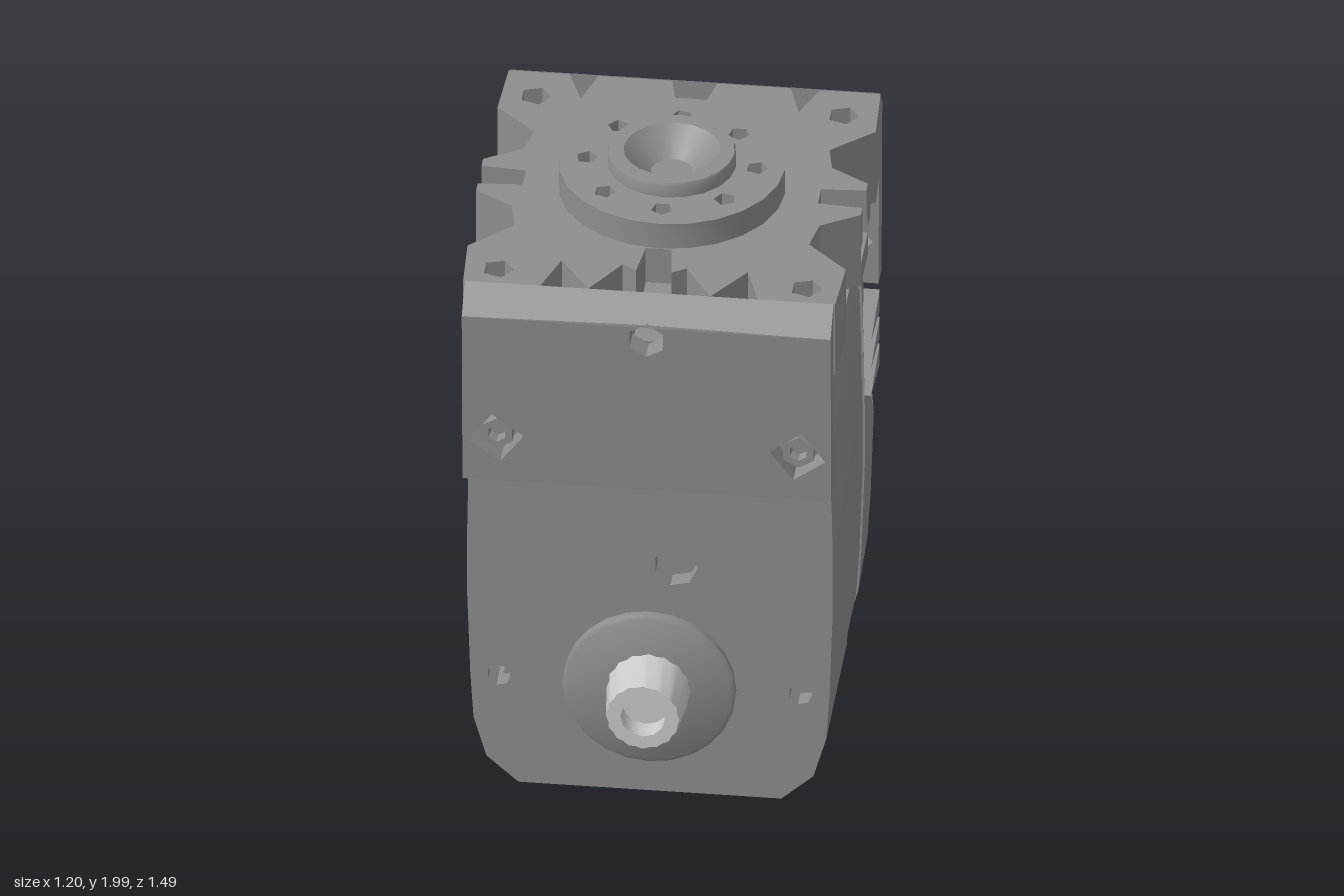
import * as THREE from 'three';
import { toCreasedNormals } from 'three/addons/utils/BufferGeometryUtils.js';

const grey = new THREE.MeshStandardMaterial({ color: 0x8e8e8e, side: THREE.DoubleSide });
const white = new THREE.MeshStandardMaterial({ color: 0xffffff, side: THREE.DoubleSide });

export function createModel() {
  const root = new THREE.Group();

  const add = (name, geo, x = 0, y = 0, z = 0, mat = grey) => {
    const mesh = new THREE.Mesh(toCreasedNormals(geo, 0.7), mat);
    mesh.name = name;
    mesh.position.set(x, y, z);
    root.add(mesh);
    return mesh;
  };
  const poly = pts => new THREE.Shape(pts.map(p => new THREE.Vector2(p[0], p[1])));
  const ngon = (x, y, r, n, turn = 0) => poly(Array.from({ length: n }, (_, i) => {
    const a = turn + i / n * Math.PI * 2;
    return [x + r * Math.cos(a), y + r * Math.sin(a)];
  }));
  const extrude = (shape, depth, holes = []) => {
    shape.holes = holes;
    return new THREE.ExtrudeGeometry(shape, { depth, bevelEnabled: false });
  };
  // Moves every vertex of a geometry by a rule
  const reshape = (geo, rule) => {
    const p = geo.attributes.position;
    for (let i = 0; i < p.count; i++) p.setXYZ(i, ...rule(p.getX(i), p.getY(i), p.getZ(i)));
    geo.computeVertexNormals();
    return geo;
  };
  // Lathe whose axis points along z
  const latheZ = (pts, n) => new THREE.LatheGeometry(
    pts.map(p => new THREE.Vector2(p[0], p[1])), n).rotateX(Math.PI / 2);

  // Case: three slabs around a smaller core; "recess" hollows the right flank
  const outline = (inset, recess = 0) => {
    const half = [[0.41, 0.01 + inset], [0.51 - inset, 0.1], [0.55 - inset, 0.24], [0.56 - inset, 0.4],
      [0.57 - inset, 0.7], [0.57 - inset, 0.92], [0.565 - inset, 1.2], [0.56 - inset, 1.36],
      [0.54 - inset, 1.43 - inset]];
    const flank = half.map(([x, y]) => [y > 0.3 && y < 1.1 ? recess - x : -x, y]);
    return poly([...half, ...flank.reverse()]);
  };
  add('caseCore', extrude(outline(0.03, 0.08), 1.05), 0, 0, -0.56);
  add('frontCase', extrude(outline(0),
    0.545, [ngon(-0.47, 0.4, 0.038, 7), ngon(0.47, 0.4, 0.038, 7), ngon(0.08, 0.84, 0.07, 7)]), 0, 0, 0.005);
  add('middleCase', extrude(outline(0.005, 0.09), 0.275), 0, 0, -0.28);
  // The rear slab draws in at its upper back edges
  add('rearCase', reshape(extrude(outline(0), 0.31),
    (x, y, z) => [z < 0.01 ? x * (y > 0.8 ? 0.93 : 0.985) : x, y, z]), 0, 0, -0.61);
  for (const s of [-1, 1])
    add('rearScrew', new THREE.CylinderGeometry(0.06, 0.06, 0.03, 10).rotateX(Math.PI / 2),
      s * 0.45, 0.4, -0.61);
  // Pointed cooling ribs on the left rear
  for (const y of [0.91, 1.01, 1.11])
    add('coolingRib', extrude(poly([[-0.38, 0], [-0.61, 0.045], [-0.61, -0.03]]), 0.075)
      .rotateY(-Math.PI / 2), 0.58, y, 0);

  // Output side: collar ring and splined shaft
  add('shaftCollar', latheZ([[0, 0.54], [0.27, 0.54], [0.27, 0.57], [0.255, 0.58], [0, 0.58]], 24), 0, 0.4, 0);
  const spline = Array.from({ length: 32 }, (_, i) => {
    const a = i / 32 * Math.PI * 2, r = i % 2 ? 0.126 : 0.132;
    return [r * Math.cos(a), r * Math.sin(a)];
  });
  add('splinedShaft', reshape(extrude(poly(spline), 0.165, [ngon(0, 0, 0.08, 12)]),
    (x, y, z) => [x * (1 - 0.8 * z), y * (1 - 0.8 * z), z]), 0, 0.4, 0.575, white);
  add('shaftBore', new THREE.CylinderGeometry(0.078, 0.078, 0.06, 12).rotateX(Math.PI / 2), 0, 0.4, 0.63, white);

  // Idler boss on the back
  add('idlerBoss', latheZ([[0, -0.6], [0.27, -0.6], [0.26, -0.64], [0.23, -0.65], [0.16, -0.655],
    [0.12, -0.735], [0.06, -0.745], [0.05, -0.725], [0, -0.725]], 12), 0, 0.4, 0);

  // Bracket end plates: sloped, bevelled along the top, with screw recesses
  const endPlate = () => reshape(
    extrude(poly([[-0.575, 1.17], [0.575, 1.17], [0.575, 1.86], [-0.575, 1.86]]), 0.08,
      [ngon(-0.47, 1.33, 0.088, 4, 0.15), ngon(0.47, 1.33, 0.088, 4, -0.15), ngon(0, 1.73, 0.06, 6, 0.5)]),
    (x, y, z) => [x, y > 1.85 && z > 0.05 ? 1.78 : y, z + 0.55 + 0.02 * (y - 1.17) / 0.69]);
  const screw = () => latheZ([[0, 0.54], [0.055, 0.54], [0.055, 0.61], [0.03, 0.61], [0.025, 0.58], [0, 0.58]], 6);
  for (const [side, turn, z] of [['front', 0, 0], ['rear', Math.PI, -0.07]]) {
    add(side + 'BracketPlate', endPlate(), 0, 0, z).rotation.y = turn;
    for (const s of [-1, 1]) add(side + 'BracketScrew', screw(), s * 0.47, 1.33, z).rotation.y = turn;
  }

  // Bracket top in three layers, scalloped at the sides, with crossing bores
  const layer = (shape, y, h, holes) =>
    add('bracketTop', extrude(shape, h, holes).rotateX(-Math.PI / 2), 0, y, 0);
  const c = -0.035; // z of the horn axis
  const rearEdge = [[0.58, -0.635], [0.59, -0.42], [0.46, -0.3], [0.48, -0.2], [0.6, c - 0.09]];
  const frontEdge = [[0.6, c + 0.09], [0.48, 0.13], [0.46, 0.24], [0.59, 0.37], [0.58, 0.57]];
  const ring = (sideSlot, frontSlot, rearSlot) => {
    const half = [...rearSlot, ...rearEdge, ...sideSlot, ...frontEdge, ...frontSlot];
    const mirror = half.map(p => [-p[0], p[1]]).reverse();
    return poly([...half, ...mirror].map(p => [p[0], -p[1]]));
  };
  layer(ring([], [], []), 1.6, 0.08);
  layer(ring([[0.6, c - 0.05], [0.46, c - 0.04], [0.46, c + 0.04], [0.6, c + 0.05]],
    [[0.34, 0.57], [0.29, 0.42], [0.19, 0.57], [0.1, 0.42], [0.055, 0.45], [0.04, 0.32]],
    [[0.05, -0.54], [0.07, -0.635], [0.3, -0.635], [0.34, -0.5], [0.39, -0.635]]), 1.735, 0.125,
  [-1, 1].flatMap(s => [0.49, -0.5].map(z => ngon(s * 0.48, -z, 0.05, 5))));
  for (const s of [-1, 1]) {
    const quarter = (edge, inner) => poly([...edge, ...inner].map(p => [s * p[0], -p[1]]));
    layer(quarter(rearEdge, [[0.05, c - 0.05], [0.05, -0.635]]), 1.68, 0.055);
    layer(quarter(frontEdge, [[0.05, 0.57], [0.05, c + 0.05]]), 1.68, 0.055);
    // Corner feet between the bracket and the case
    for (const z of [0.475, -0.54])
      add('bracketFoot', new THREE.BoxGeometry(0.3, 0.19, 0.15), s * 0.4, 1.515, z);
  }

  // Round horn with eight screw holes, and its dished hub
  const holes = Array.from({ length: 8 }, (_, i) =>
    ngon(0.265 * Math.cos(i * Math.PI / 4), 0.265 * Math.sin(i * Math.PI / 4), 0.035, 5, i));
  add('hornDisc', extrude(ngon(0, 0, 0.352, 24), 0.09, [...holes, ngon(0, 0, 0.16, 16)])
    .rotateX(-Math.PI / 2), 0, 1.86, c);
  add('hornHub', new THREE.LatheGeometry([[0, 1.92], [0.065, 1.92], [0.12, 1.97], [0.15, 2],
    [0.195, 2], [0.2, 1.99], [0.2, 1.94]].map(p => new THREE.Vector2(p[0], p[1])), 20), 0, 0, c);

  return root;
}
